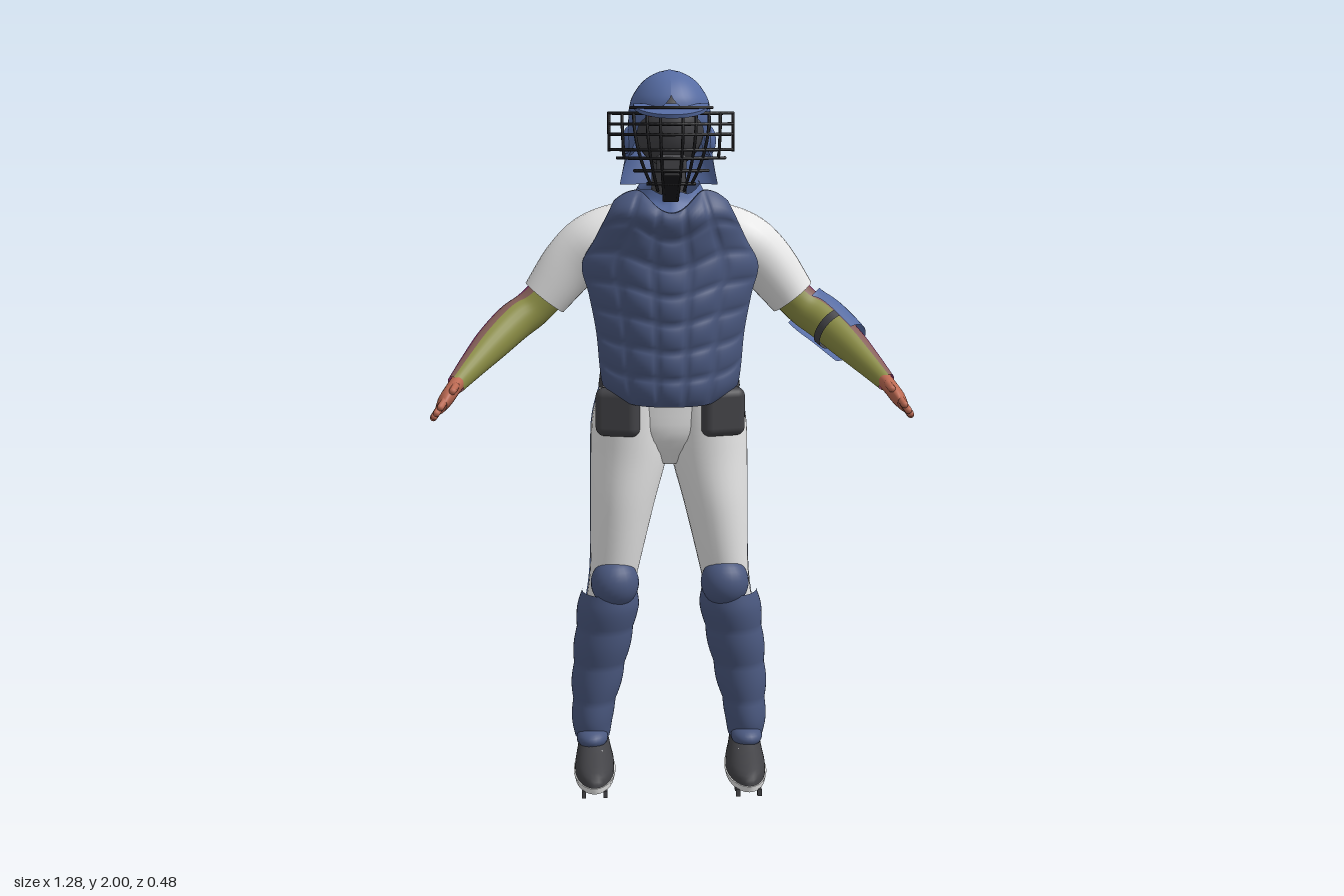
import * as THREE from 'three';
import { mergeVertices } from 'three/addons/utils/BufferGeometryUtils.js';
import { RoundedBoxGeometry } from 'three/addons/geometries/RoundedBoxGeometry.js';

const V = (x, y, z) => new THREE.Vector3(x, y, z);
const TAU = Math.PI * 2;

// Smooth interpolation of table rows keyed by their first column
function at(T, k) {
  let i = 0;
  while (i < T.length - 2 && k > T[i + 1][0]) i++;
  const a = T[i], b = T[i + 1], h = b[0] - a[0], s = (k - a[0]) / h;
  const m = (j, c) => {
    const p = T[Math.max(j - 1, 0)], q = T[Math.min(j + 1, T.length - 1)];
    return (q[c] - p[c]) / (q[0] - p[0]);
  };
  return a.map((_, c) => (2 * s ** 3 - 3 * s * s + 1) * a[c] + (s ** 3 - 2 * s * s + s) * h * m(i, c)
    + (3 * s * s - 2 * s ** 3) * b[c] + (s ** 3 - s * s) * h * m(i + 1, c));
}
const steps = (T, n, from = T[0][0], to = T[T.length - 1][0]) =>
  Array.from({ length: n + 1 }, (_, i) => at(T, from + (to - from) * i / n));

// Horizontal rings from rows [y, cx, cz, rx, rz]
const upright = (rows, grow = 0) => rows.map(r => ({
  c: V(r[1], r[0], r[2]), u: V(r[3] + grow, 0, 0), v: V(0, 0, r[4] + grow) }));

// Rings square to a limb path from rows [x, y, z, ru, rv]; u points towards ref
function along(T, ref, n, from, to, grow = 0) {
  return steps(T, n, from, to).map(r => {
    const a = at(T, r[0] - 0.004), b = at(T, r[0] + 0.004);
    const t = V(b[0] - a[0], b[1] - a[1], b[2] - a[2]).normalize();
    const u = ref.clone().addScaledVector(t, -ref.dot(t)).normalize();
    const v = u.clone().cross(t);
    return { c: V(r[0], r[1], r[2]), u: u.multiplyScalar(r[3] + grow), v: v.multiplyScalar(r[4] + grow) };
  });
}

// Skin over rings: full rings are capped, arcs [a0, a1] stay open
function loft(rings, { n = 28, arc = null, e = 1 } = {}) {
  const open = !!arc || rings[0].arc, zero = V(0, 0, 0), pos = [], idx = [], w = open ? n + 1 : n;
  const shape = x => Math.sign(x) * Math.abs(x) ** e;
  if (!open) {
    const a = rings[0], b = rings[rings.length - 1];
    rings = [{ c: a.c, u: zero, v: zero }, a, ...rings, b, { c: b.c, u: zero, v: zero }];
  }
  rings.forEach((r, i) => {
    const [a0, a1] = r.arc || arc || [0, TAU];
    for (let j = 0; j < w; j++) {
      const a = a0 + (a1 - a0) * j / n;
      const p = r.c.clone().addScaledVector(r.u, shape(Math.cos(a))).addScaledVector(r.v, shape(Math.sin(a)));
      pos.push(p.x, p.y, p.z);
      if (i && j < n) {
        const k = (j + 1) % w, A = (i - 1) * w + j, B = (i - 1) * w + k, C = i * w + j, D = i * w + k;
        idx.push(A, C, B, B, C, D);
      }
    }
  });
  const g = new THREE.BufferGeometry();
  g.setAttribute('position', new THREE.Float32BufferAttribute(pos, 3));
  g.setIndex(idx);
  g.computeVertexNormals();
  return g;
}

const ball = (x, y, z, a, b, c) => new THREE.SphereGeometry(1, 24, 16).scale(a, b, c).translate(x, y, z);
const box = (x, y, z, a, b, c) => new THREE.BoxGeometry(a, b, c).translate(x, y, z);
function rod(a, b, r) {
  const d = b.clone().sub(a), q = new THREE.Quaternion().setFromUnitVectors(V(0, 1, 0), d.clone().normalize());
  return new THREE.CapsuleGeometry(r, d.length(), 4, 10).applyQuaternion(q).translate(...a.clone().add(b).multiplyScalar(0.5));
}
function mirror(geo) {
  const g = (geo.index ? geo.clone() : mergeVertices(geo)).scale(-1, 1, 1), ix = g.index.array;
  for (let i = 0; i < ix.length; i += 3) [ix[i], ix[i + 1]] = [ix[i + 1], ix[i]];
  return g;
}

export function createModel() {
  const root = new THREE.Group();
  const M = {};
  for (const [name, hex] of Object.entries({ helmetBlue: 0x566ca3, padNavy: 0x4a587f, white: 0xececec, olive: 0x8c8e45,
    mauve: 0x87605a, magenta: 0x7c2a62, skin: 0xbc6a53, charcoal: 0x424246, black: 0x17171a })) {
    M[name] = new THREE.MeshStandardMaterial({ color: hex, side: THREE.DoubleSide });
    M[name].name = name;
  }
  const add = (name, geo, mat) => {
    const m = new THREE.Mesh(geo, M[mat]);
    m.name = name;
    root.add(m);
  };
  const pair = (name, geo, mat) => {
    add(name + 'Left', geo, mat);
    add(name + 'Right', mirror(geo), mat);
  };

  // Shirt, belt and hips
  const torso = [[1.15, 0, -.08, .18, .112], [1.25, 0, -.085, .175, .12], [1.35, 0, -.095, .185, .138],
    [1.45, 0, -.095, .2, .128], [1.54, 0, -.095, .2, .12], [1.6, 0, -.095, .165, .108], [1.64, 0, -.095, .115, .085], [1.66, 0, -.095, .07, .06]];
  add('shirt', loft(upright(steps(torso, 28)), { n: 40, e: .9 }), 'white');
  const hips = [[.92, 0, -.08, .04, .05], [1.0, 0, -.08, .15, .1], [1.08, 0, -.085, .195, .115], [1.16, 0, -.078, .185, .113]];
  add('hips', loft(upright(steps(hips, 10)), { n: 36 }), 'white');
  add('belt', loft(upright([[1.135, 0, -.075, .198, .121], [1.172, 0, -.075, .193, .12]]), { n: 40 }), 'charcoal');
  pair('hipPouch', new RoundedBoxGeometry(.125, .135, .07, 3, .025).rotateY(.3).translate(.142, 1.075, .008), 'charcoal');

  // Trouser legs with side stripe
  const leg = [[.1, .225, -.13, .036, .04], [.2, .222, -.125, .046, .055], [.42, .19, -.115, .062, .075], [.6, .158, -.075, .068, .078],
    [.8, .132, -.077, .09, .107], [.95, .112, -.087, .109, .12], [1.05, .106, -.09, .11, .126], [1.15, .095, -.08, .095, .115]];
  pair('trouserLeg', loft(upright(steps(leg, 36))), 'white');
  pair('sideStripe', loft(upright(steps(leg, 24, .5, 1.135), .003), { n: 3, arc: [-.34, -.17] }), 'helmetBlue');
  for (const y of [.225, .44]) {
    add('calfStrap', loft(upright(steps(leg, 2, y - .016, y + .016), .006), { n: 24, arc: [2.9, 6.5] }), 'charcoal');
  }

  // Leg guards: ridged shin shell, knee cap, instep flap
  const guard = [[.11, .222, -.1, .05, .066], [.16, .222, -.1, .054, .076], [.3, .205, -.09, .07, .076], [.5, .175, -.075, .083, .094], [.55, .17, -.07, .078, .092]];
  const shin = steps(guard, 44).map(r => {
    const b = .005 * Math.abs(Math.sin((r[0] - .11) / .11 * Math.PI));
    return [r[0], r[1], r[2], r[3] + b, r[4] + b];
  });
  pair('shinGuard', loft(upright(shin), { n: 24, arc: [-.12, Math.PI + .12] }), 'padNavy');
  pair('kneeCap', ball(.155, .582, -.022, .068, .07, .064), 'padNavy');
  pair('instepFlap', ball(.222, .118, -.05, .045, .03, .06), 'padNavy');
  pair('sock', loft(upright([[.08, .222, -.125, .045, .05], [.14, .224, -.128, .042, .046]])), 'helmetBlue');

  // Shoes
  const shoe = [[.034, .216, -.016, .056, .162], [.058, .216, -.02, .055, .156], [.08, .217, -.045, .049, .128], [.1, .218, -.075, .044, .1], [.12, .22, -.1, .04, .076]];
  pair('shoe', loft(upright(steps(shoe, 10))), 'charcoal');
  pair('sole', loft(upright([[.018, .216, -.016, .056, .16], [.036, .216, -.016, .06, .166]])), 'white');
  for (let i = 0; i < 3; i++) pair('lace', box(0, 0, 0, .044, .005, .007).rotateX(.55).translate(.216, .096 - i * .011, .014 + i * .022), 'white');
  for (const z of [-.15, -.1, .02, .08, .12]) {
    for (const x of [-.03, .03]) pair('cleat', box(.216 + x, .01, z, .012, .02, .014), 'charcoal');
  }

  // Sleeves and two-tone arms
  const front = V(-.78, 0, .62);
  const sleeve = [[.08, 1.57, -.098, .07, .085], [.2, 1.53, -.1, .092, .088], [.27, 1.475, -.1, .08, .08], [.345, 1.38, -.098, .068, .066]];
  pair('sleeve', loft(along(sleeve, V(0, 0, 1), 16)), 'white');
  const arm = [[.32, 1.41, -.1, .054, .054], [.38, 1.35, -.092, .053, .053], [.43, 1.315, -.065, .053, .054], [.49, 1.262, 0, .047, .048], [.54, 1.212, .07, .035, .036], [.578, 1.172, .13, .024, .026]];
  const armRings = along(arm, front, 28);
  for (const [a, b, mat] of [[-1.2, 1.35, 'olive'], [1.35, 1.9, 'mauve'], [1.9, 4.75, 'magenta'], [4.75, TAU - 1.2, 'mauve']]) {
    pair('arm', loft(armRings, { n: 10, arc: [a, b] }), mat);
  }
  add('elbowGuard', loft(along(arm, front, 12, .375, .49, .014), { n: 20, arc: [1.2, 5] }), 'helmetBlue');
  add('elbowBand', loft(along(arm, front, 2, .445, .46, .007), { n: 28, arc: [0, TAU] }), 'charcoal');

  // Hands
  const hand = [[.572, 1.178, .12, .021, .024], [.588, 1.158, .155, .02, .033], [.602, 1.138, .185, .019, .037], [.612, 1.122, .205, .013, .034]];
  const thin = V(.8, .55, 0), dir = V(.34, -.5, .79), wide = V(-.43, .63, .59);
  pair('palm', loft(along(hand, thin, 8), { n: 20 }), 'skin');
  for (let i = 0; i < 4; i++) {
    const a = V(.606, 1.135, .186).addScaledVector(wide, (i - 1.5) * .017);
    pair('finger', rod(a, a.clone().addScaledVector(dir, i % 3 ? .055 : .045), .0095), 'skin');
  }
  const thumb = V(.585, 1.16, .155).addScaledVector(wide, .024);
  pair('thumb', rod(thumb, thumb.clone().addScaledVector(wide, .014).addScaledVector(dir, .035), .01), 'skin');

  // Quilted chest protector: a box bent round the chest
  const chest = [[1.1, .165, .1, .085], [1.16, .188, .11, .09], [1.3, .203, .115, .095], [1.4, .222, .115, .1], [1.48, .24, .11, .1],
    [1.55, .205, .118, .085], [1.62, .17, .132, .06], [1.68, .14, .09, .03]];
  const plate = new THREE.BoxGeometry(2, 1, 1, 40, 56, 1), p = plate.attributes.position;
  for (let i = 0; i < p.count; i++) {
    const u = p.getX(i), t = p.getY(i) + .5, a = Math.abs(u);
    const low = 1.1 + .05 * a ** 6, high = 1.625 + .06 * Math.sin(Math.min(a / .7, 1) * Math.PI / 2) ** 2 - .03 * a ** 8;
    const y = low + (high - low) * t, [, w, z, bend] = at(chest, y);
    const quilt = .011 * Math.abs(Math.sin(t * 7 * Math.PI)) ** .6 * Math.abs(Math.cos(u * 2.5 * Math.PI)) ** .4;
    p.setXYZ(i, u * w, y, z - bend * u * u - (p.getZ(i) > 0 ? .008 - quilt : .045 - .015 * a));
  }
  plate.computeVertexNormals();
  add('chestProtector', plate, 'padNavy');

  // Neck and neckerchief, raised at the back
  add('neck', new THREE.CylinderGeometry(.045, .05, .16, 20).translate(0, 1.71, -.1), 'charcoal');
  const scarf = [[1.6, 0, -.09, .135, .105], [1.635, 0, -.095, .13, .115], [1.665, 0, -.1, .1, .1], [1.69, 0, -.1, .085, .095]];
  const collar = loft(upright(steps(scarf, 10)), { n: 32, arc: [0, TAU] }), cp = collar.attributes.position;
  for (let i = 0; i < cp.count; i++) cp.setY(i, cp.getY(i) - .2 * (cp.getZ(i) + .1) + .006 * Math.sin(9 * cp.getX(i) / .1));
  collar.computeVertexNormals();
  add('neckerchief', collar, 'helmetBlue');

  // Helmet with open face; the last column is half the opening angle
  const helmet = [[1.69, 0, -.1, .135, .03, 1.6], [1.74, 0, -.095, .125, .05, 1.4], [1.8, 0, -.07, .115, .095, 1.0], [1.86, 0, -.05, .112, .122, .8],
    [1.895, 0, -.048, .11, .126, .3], [1.93, 0, -.048, .1, .118, 0], [1.97, 0, -.048, .07, .085, 0], [1.992, 0, -.048, .034, .042, 0], [2, 0, -.048, .001, .001, 0]];
  const rows = steps(helmet, 50), shell = upright(rows);
  shell.forEach((r, i) => {
    const f = Math.max(rows[i][5], 0);
    r.arc = [Math.PI / 2 + f, Math.PI / 2 + TAU - f];
  });
  add('helmet', loft(shell, { n: 40 }), 'helmetBlue');
  pair('earBulge', ball(.108, 1.81, -.075, .02, .04, .034), 'helmetBlue');
  add('face', ball(0, 1.845, -.06, .095, .105, .085), 'charcoal');
  add('visor', new THREE.CylinderGeometry(1, 1, 1, 32, 1, false, -Math.PI / 2, Math.PI).scale(.1, .01, .095).rotateX(.3).translate(0, 1.905, .046), 'helmetBlue');
  add('browPad', new RoundedBoxGeometry(.14, .02, .03, 2, .008).translate(0, 1.885, .07), 'skin');

  // Wire face mask: bars lie on one curved surface
  const profile = [[1.64, .025], [1.7, .075], [1.76, .108], [1.83, .115], [1.9, .1]];
  const onMask = (x, y) => V(x, y, at(profile, y)[1] - .06 * (x / .165) ** 2);
  const bar = pts => add('maskBar', new THREE.TubeGeometry(new THREE.CatmullRomCurve3(pts), 20, .0042, 6), 'black');
  for (const [y, w] of [[1.9, .11], [1.885, .165], [1.857, .165], [1.83, .165], [1.79, .165], [1.768, .145], [1.735, .1], [1.7, .065]]) {
    bar([-1, -.6, -.2, .2, .6, 1].map(k => onMask(k * w, y)));
  }
  for (const [x, low, xl] of [[.165, 1.785, .165], [.13, 1.765, .125], [.1, 1.7, .055], [.065, 1.68, .035], [.03, 1.66, .018]]) {
    for (const s of [-1, 1]) bar([0, .25, .5, .75, 1].map(k => onMask(s * (x + (xl - x) * k ** 2), 1.888 + (low - 1.888) * k)));
  }
  add('throatGuard', new RoundedBoxGeometry(.045, .1, .012, 2, .005).rotateX(.7).translate(0, 1.69, .062), 'black');
  add('chinPad', new RoundedBoxGeometry(.08, .045, .025, 2, .01).translate(0, 1.755, .085), 'charcoal');
  return root;
}
